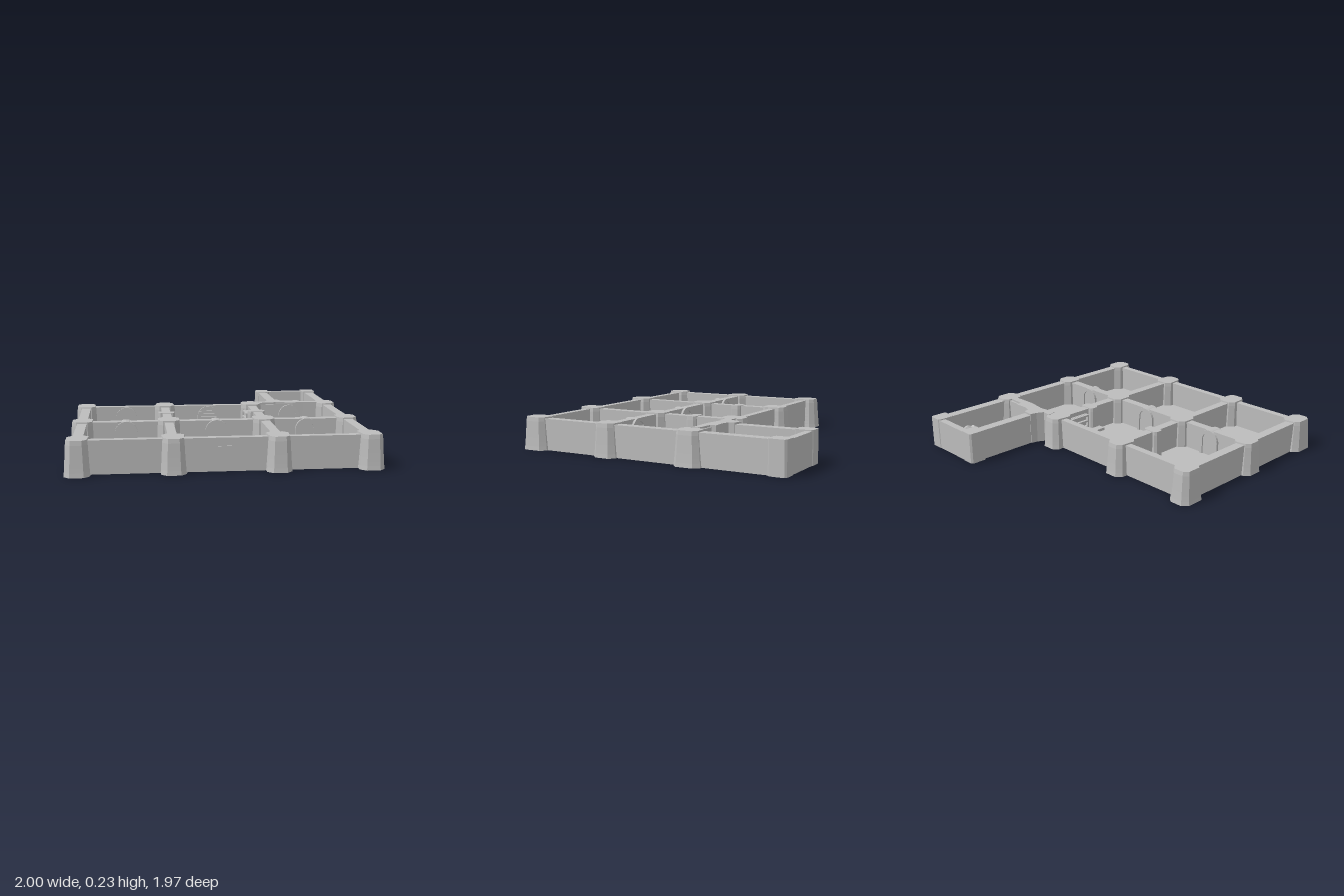
import * as THREE from 'three';

const WALL_H = 0.215, FLOOR = 0.03;

export function createModel() {
  const group = new THREE.Group();
  group.name = 'roomTile';
  const stone = new THREE.MeshStandardMaterial({ color: 0xbcbcbc });
  stone.name = 'grey stone';

  const add = (name, geo, x = 0, y = 0, z = 0, ry = 0) => {
    const m = new THREE.Mesh(geo, stone);
    m.name = name;
    m.position.set(x, y, z);
    m.rotation.y = ry;
    group.add(m);
    return m;
  };
  const box = (name, x0, x1, y0, y1, z0, z1) =>
    add(name, new THREE.BoxGeometry(x1 - x0, y1 - y0, z1 - z0), (x0 + x1) / 2, (y0 + y1) / 2, (z0 + z1) / 2);

  // Plan outlines are clockwise [x, z] points, extruded upwards; holes are wound the other way
  const toPoints = pts => pts.map(([x, z]) => new THREE.Vector2(x, -z));
  const plan = (pts, h, holes = [], steps = 1) => {
    const s = new THREE.Shape(toPoints(pts));
    holes.forEach(p => s.holes.push(new THREE.Path(toPoints(p).reverse())));
    return new THREE.ExtrudeGeometry(s, { depth: h, bevelEnabled: false, steps }).rotateX(-Math.PI / 2);
  };
  const chamfered = (x0, x1, z0, z1, c) => [
    [x0 + c, z0], [x1 - c, z0], [x1, z0 + c], [x1, z1 - c],
    [x1 - c, z1], [x0 + c, z1], [x0, z1 - c], [x0, z0 + c]];

  // Floor slab and walls share one L-shaped outline
  const outline = [[-0.95, -0.34], [0.49, -0.34], [0.49, -0.98], [0.95, -0.98], [0.95, 0.905], [-0.95, 0.905]];
  add('floor', plan(outline, FLOOR));
  const rooms = [];
  for (const [x0, x1] of [[-0.885, -0.36], [-0.3, 0.302], [0.365, 0.885]])
    for (const [z0, z1] of [[-0.292, 0.27], [0.33, 0.855]])
      rooms.push(chamfered(x0, x1, z0, z1, 0.02));
  rooms.push(chamfered(0.56, 0.88, -0.932, -0.36, 0.015));
  add('walls', plan(outline, WALL_H - FLOOR, rooms), 0, FLOOR);

  // Octagonal pillars; the sides facing out of the building (outX, outZ) flare most at the foot
  const pillar = (name, x, z, hx, hz, h, taper, c, outX = 0, outZ = 0) => {
    const g = plan(chamfered(-hx, hx, -hz, hz, c), h, [], 8);
    const p = g.attributes.position;
    for (let i = 0; i < p.count; i++) {
      const px = p.getX(i), pz = p.getZ(i);
      const t = THREE.MathUtils.clamp(p.getY(i) / h, 0, 1);
      const outer = px * outX > 0 || pz * outZ > 0;
      let s = 1 - taper * (outer ? 1 : 0.35) * Math.pow(t, 0.8);
      if (t > 0.95) s -= 0.03;
      p.setX(i, px * s);
      p.setZ(i, pz * s);
    }
    g.computeVertexNormals();
    add(name, g, x, 0, z);
  };
  for (const x of [-0.92, -0.33, 0.33, 0.92])
    for (const [z, hz, outZ] of [[-0.32, 0.096, -1], [0.3, 0.086, 0], [0.885, 0.098, 1]])
      pillar('pillar', x, z, 0.08, hz, 0.225, 0.19, 0.036, Math.abs(x) > 0.9 ? Math.sign(x) : 0, outZ);

  // Small pilasters half way along the inner walls
  for (const x of [-0.33, 0.33]) pillar('innerPilaster', x, -0.003, 0.062, 0.038, 0.219, 0.08, 0.014);

  // Square corner posts of the annex
  for (const x of [0.527, 0.918])
    add('annexPost', plan(chamfered(-0.053, 0.053, -0.061, 0.061, 0.012), 0.222), x, 0, -0.924);

  // Rough stonework where the annex joins the main rooms
  add('annexJunction', plan([[0.38, -0.36], [0.45, -0.35], [0.475, -0.4], [0.485, -0.45], [0.565, -0.44],
    [0.575, -0.4], [0.62, -0.385], [0.72, -0.39], [0.73, -0.35], [0.86, -0.34], [0.87, -0.295],
    [0.66, -0.29], [0.53, -0.31], [0.4, -0.29]], 0.228));

  // Arched doorway: raised frame with a thinner door leaf, centred on its wall
  const arc = (w, h) => {
    const pts = [new THREE.Vector2(w, 0)];
    for (let i = 0; i <= 12; i++) {
      const a = Math.PI * i / 12;
      pts.push(new THREE.Vector2(w * Math.cos(a), h - w + w * Math.sin(a)));
    }
    pts.push(new THREE.Vector2(-w, 0));
    return pts;
  };
  const extrude = (pts, d) =>
    new THREE.ExtrudeGeometry(new THREE.Shape(pts), { depth: d, bevelEnabled: false }).translate(0, 0, -d / 2);
  const door = (x, z, depth, height) => {
    const ring = [...arc(0.078, height), ...arc(0.055, height - 0.023).reverse()];
    add('doorFrame', extrude(ring, depth), x, FLOOR - 0.005, z);
    add('doorLeaf', extrude(arc(0.056, height - 0.022), depth - 0.022), x, FLOOR - 0.005, z);
  };
  for (const x of [-0.62, 0, 0.63]) {
    door(x, 0.3, 0.094, 0.195);
    door(x, -0.294, 0.034, 0.185);
  }

  // Slats across the middle rear doorway
  for (let i = 0; i < 6; i++) {
    const y = 0.05 + i * 0.023;
    box('doorSlat', -0.065, 0.065, y, y + 0.009, -0.29, -0.27);
  }

  // Bench with headrest and a small stand behind it
  box('benchBase', -0.185, 0.14, FLOOR, 0.06, -0.1, -0.025);
  box('benchTop', -0.2, 0.155, 0.06, 0.08, -0.115, -0.01);
  box('benchHead', 0.15, 0.205, FLOOR, 0.1, -0.1, -0.02);
  box('standPost', 0.12, 0.14, FLOOR, 0.12, -0.15, -0.11);
  box('standTop', 0.105, 0.155, 0.11, 0.122, -0.14, -0.122);

  // Shelf unit on the side wall of the middle room
  box('shelfBack', 0.285, 0.305, FLOOR, 0.185, -0.255, -0.07);
  for (let i = 0; i < 4; i++) box('shelf', 0.265, 0.3, 0.045 + i * 0.042, 0.058 + i * 0.042, -0.255, -0.07);
  for (const z of [-0.255, -0.082]) box('shelfSide', 0.265, 0.3, FLOOR, 0.185, z, z + 0.012);

  // Plaque on the front wall
  box('plaque', -0.055, 0.055, 0.14, 0.158, 0.9, 0.912);
  box('plaqueCentre', -0.032, 0.032, 0.132, 0.166, 0.9, 0.914);

  // Rubble heap in the annex corner, and loose stones by a wall
  let seed = 7;
  const rnd = () => (seed = (seed * 16807) % 2147483647) / 2147483647;
  const rock = (name, x, y, z, r) => {
    const m = add(name, new THREE.DodecahedronGeometry(r), x, y, z, rnd() * 6);
    m.rotation.x = rnd() * 6;
  };
  add('rubbleBase', plan([[0.74, -0.93], [0.88, -0.93], [0.88, -0.68], [0.83, -0.7], [0.77, -0.78], [0.73, -0.85]], 0.035), 0, FLOOR);
  for (let i = 0; i < 20; i++) {
    const u = rnd(), v = rnd() * (1 - u * 0.6);
    rock('rubble', 0.865 - v * 0.11, 0.055 + rnd() * 0.06 * (1 - v), -0.91 + u * 0.21, 0.02 + rnd() * 0.018);
  }
  box('wallNiche', 0.36, 0.4, FLOOR, 0.12, 0.64, 0.76);
  for (let i = 0; i < 5; i++) rock('looseStone', 0.4 + rnd() * 0.045, 0.045 + rnd() * 0.03, 0.66 + rnd() * 0.06, 0.018);

  return group;
}
